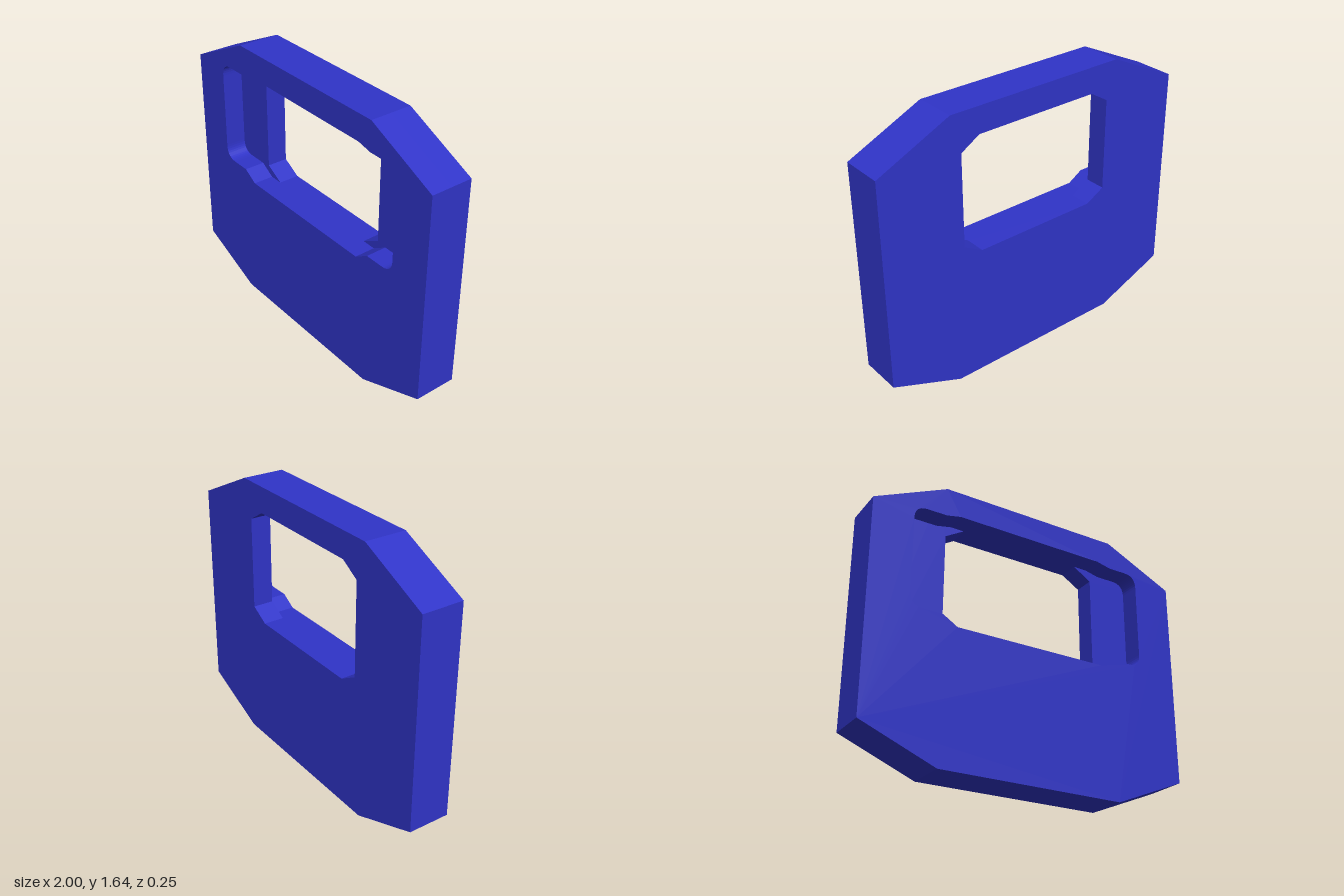
import * as THREE from 'three';

const material = new THREE.MeshStandardMaterial({ color: 0x3034c8 });
const HALF = 0.125; // thickness of each of the two layers

// Octagonal outline shared by both layers
function plateShape() {
  return new THREE.Shape([
    [-0.56, 0], [0.56, 0], [1, 0.18], [1, 1.44],
    [0.56, 1.645], [-0.56, 1.645], [-1, 1.44], [-1, 0.18],
  ].map(([x, y]) => new THREE.Vector2(x, y)));
}

// Chamfered rectangular opening that passes right through
function windowPath() {
  return new THREE.Path([
    [-0.385, 0.8], [-0.5, 0.865], [-0.5, 1.42], [-0.385, 1.49],
    [0.385, 1.49], [0.5, 1.42], [0.5, 0.865], [0.385, 0.8],
  ].map(([x, y]) => new THREE.Vector2(x, y)));
}

// Wider opening with rounded side pockets, cut only into the front layer
function recessPath() {
  const w = 0.755, r = 0.08, top = 1.47, low = 0.855;
  const p = new THREE.Path();
  p.moveTo(-0.47, 0.8);
  p.lineTo(-0.56, low);
  p.lineTo(-w + r, low);
  p.quadraticCurveTo(-w, low, -w, low + r);
  p.lineTo(-w, top - r);
  p.quadraticCurveTo(-w, top, -w + r, top);
  p.lineTo(-0.56, top);
  p.lineTo(-0.47, 1.49);
  p.lineTo(0.47, 1.49);
  p.lineTo(0.56, top);
  p.lineTo(w - r, top);
  p.quadraticCurveTo(w, top, w, top - r);
  p.lineTo(w, low + r);
  p.quadraticCurveTo(w, low, w - r, low);
  p.lineTo(0.56, low);
  p.lineTo(0.47, 0.8);
  p.closePath();
  return p;
}

function layer(name, hole, z) {
  const shape = plateShape();
  shape.holes.push(hole);
  const geometry = new THREE.ExtrudeGeometry(shape, { depth: HALF, bevelEnabled: false, curveSegments: 10 });
  const mesh = new THREE.Mesh(geometry, material);
  mesh.name = name;
  mesh.position.z = z;
  return mesh;
}

export function createModel() {
  const group = new THREE.Group();
  group.name = 'windowPlate';
  group.add(layer('backPlate', windowPath(), -HALF));
  group.add(layer('frontPlate', recessPath(), 0));
  return group;
}
